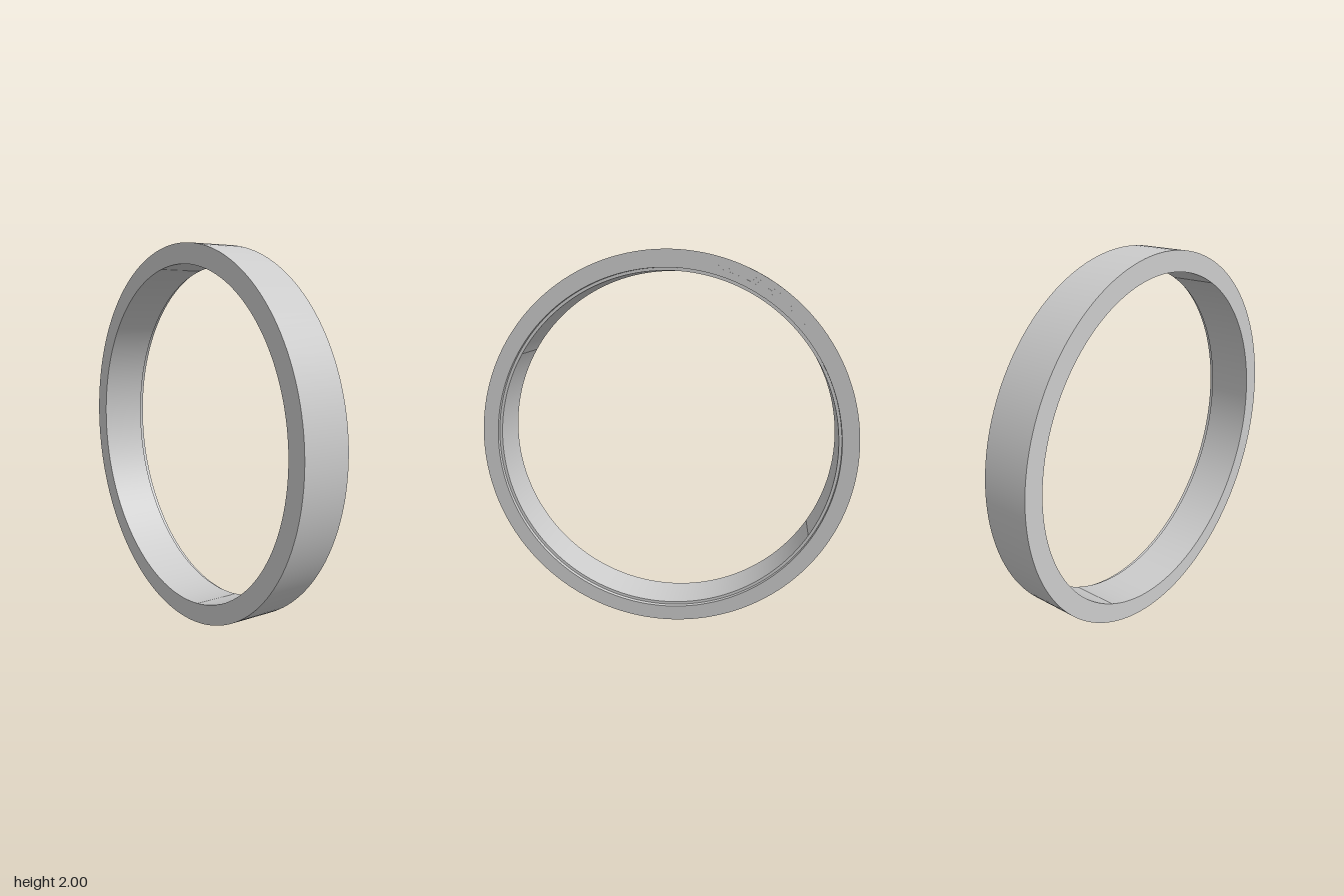
import * as THREE from 'three';
import { mergeGeometries } from 'three/addons/utils/BufferGeometryUtils.js';

// Revolves each profile edge separately so the corners stay sharp and the round stays smooth
function sharpLathe(points, segments) {
  return mergeGeometries(points.slice(1).map((p, i) =>
    new THREE.LatheGeometry([points[i], p], segments)));
}

export function createModel() {
  const group = new THREE.Group();
  const material = new THREE.MeshStandardMaterial({ color: 0xcccccc });
  const half = 0.136, inner = 0.895;

  // Profile as (radius, position along the axis), starting at the flat back face
  const profile = [[inner, -half], [1, -half]];

  // Fine terraces climbing inward across the front face
  const steps = 5, stepWidth = 0.014, stepHeight = 0.005;
  for (let i = 0; i < steps; i++) {
    const y = half - (steps - 1 - i) * stepHeight;
    profile.push([1 - i * stepWidth, y]);
    profile.push([i < steps - 1 ? 1 - (i + 1) * stepWidth : 0.91, y]);
  }

  // Recessed inner lip, then the bore back to the start
  profile.push([0.91, half - 0.024], [inner, half - 0.024], [inner, -half]);

  const ring = new THREE.Mesh(
    sharpLathe(profile.map(([r, y]) => new THREE.Vector2(r, y)), 160), material);
  ring.name = 'steppedRing';
  ring.rotation.z = -Math.PI / 2; // axis along x, terraces towards +x
  ring.position.y = 1;
  group.add(ring);
  return group;
}
